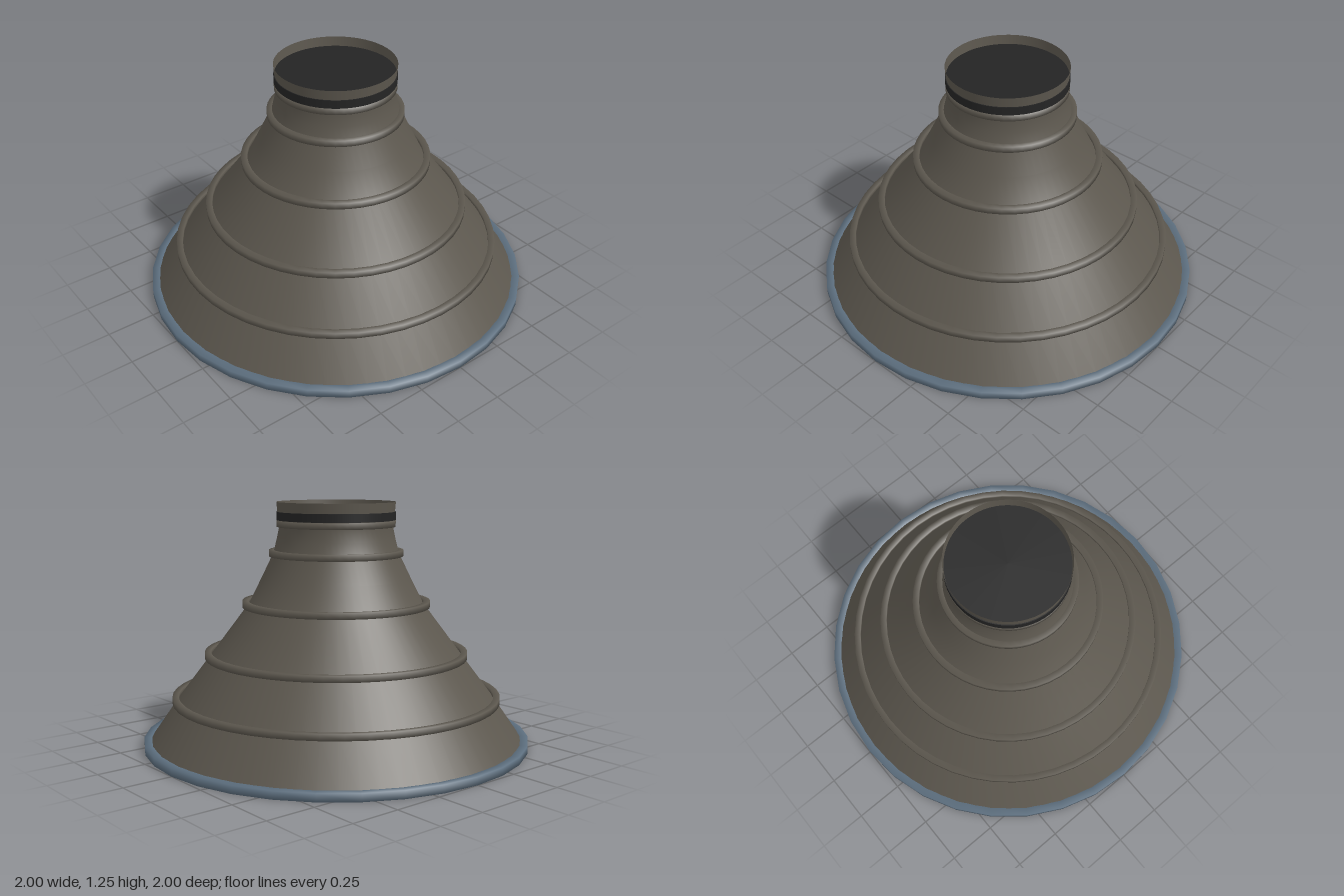
import * as THREE from 'three';

export function createModel() {
  const group = new THREE.Group();
  group.name = 'nozzleBell';

  const material = (name, color, side = THREE.FrontSide) => {
    const m = new THREE.MeshStandardMaterial({ color, side });
    m.name = name;
    return m;
  };
  const shellMetal = material('warm grey metal', 0x5c574e, THREE.DoubleSide);
  const rimMetal = material('blue grey metal', 0x5d6f7f);
  const darkMetal = material('black metal', 0x242424);

  const add = (name, geometry, mat) => {
    const mesh = new THREE.Mesh(geometry, mat);
    mesh.name = name;
    group.add(mesh);
    return mesh;
  };
  const lathe = (points, segments) =>
    new THREE.LatheGeometry(points.map(([r, y]) => new THREE.Vector2(r, y)), segments);

  // Hoop of square section with softly shaded edges; the profile starts mid inner face
  const hoop = (outer, y, half, segments) => {
    const inner = outer - 2 * half;
    return lathe([
      [inner, y], [inner, y - half], [outer, y - half],
      [outer, y + half], [inner, y + half], [inner, y],
    ], segments);
  };

  // Open flared bell, running from the exit up to the throat
  add('bell', lathe([
    [0.975, 0.015], [0.815, 0.245], [0.645, 0.47], [0.45, 0.73],
    [0.385, 0.86], [0.322, 0.99], [0.305, 1.06], [0.29, 1.13], [0.3, 1.2],
  ], 64), shellMetal);

  // Open collar above the throat
  add('collar', lathe([[0.3, 1.195], [0.305, 1.25]], 64), shellMetal);

  // Stiffening hoops around the bell
  [[0.85, 0.245], [0.68, 0.47], [0.485, 0.73], [0.345, 0.99], [0.305, 1.14]].forEach(
    ([outer, y], i) => add(`stiffeningHoop${i + 1}`, hoop(outer, y, 0.016, 48), shellMetal));

  // Thick rim at the exit
  add('exitRim', hoop(1, 0.02, 0.02, 32), rimMetal);

  // Dark throat plug: a band outside and a recessed disc inside the collar
  const plug = add('throatPlug', new THREE.CylinderGeometry(0.305, 0.305, 0.042, 64), darkMetal);
  plug.position.y = 1.179;

  return group;
}
